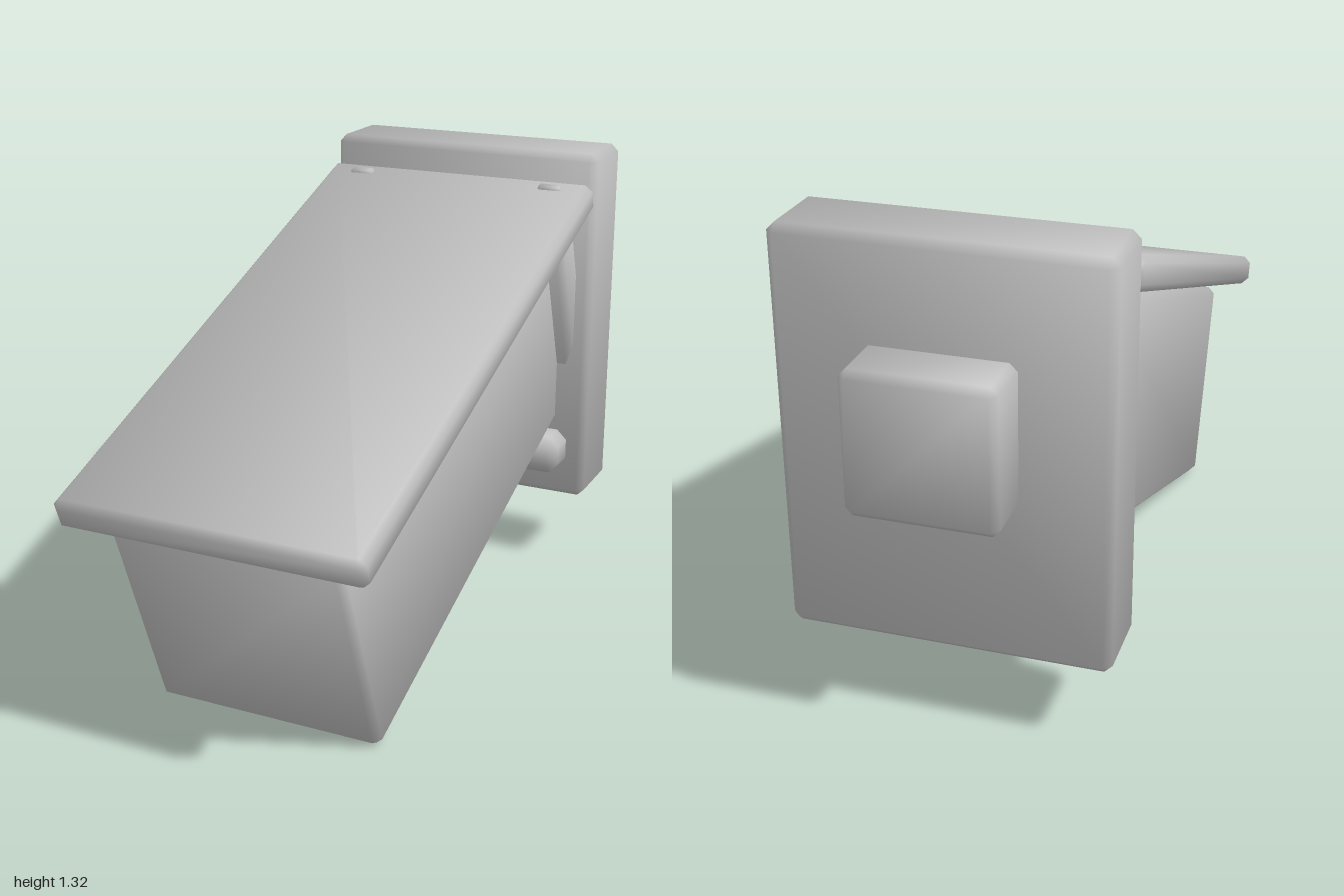
import * as THREE from 'three';
import { ConvexGeometry } from 'three/addons/geometries/ConvexGeometry.js';

const TILT = Math.atan(0.364);

// Chamfered box with softly blended normals: 24 corner points, normals lean towards the corners
function chamferBox(w, h, d, c) {
  const half = [w / 2, h / 2, d / 2];
  const points = [];
  for (const sx of [-1, 1]) for (const sy of [-1, 1]) for (const sz of [-1, 1]) {
    const s = [sx, sy, sz];
    for (let axis = 0; axis < 3; axis++) {
      const p = half.map((e, i) => s[i] * (i === axis ? e : e - c));
      points.push(new THREE.Vector3(...p));
    }
  }
  const geo = new ConvexGeometry(points);
  const pos = geo.attributes.position, nor = geo.attributes.normal;
  const n = new THREE.Vector3();
  for (let i = 0; i < pos.count; i++) {
    const p = [pos.getX(i), pos.getY(i), pos.getZ(i)];
    n.set(...p.map((v, k) => Math.sign(v) * (Math.abs(v) > half[k] - c / 2 ? 2.97 : 1.28))).normalize();
    nor.setXYZ(i, n.x, n.y, n.z);
  }
  return geo;
}

export function createModel() {
  const model = new THREE.Group();
  model.name = 'mountedHousing';
  const grey = new THREE.MeshStandardMaterial({ color: 0xbcbcbc });
  grey.name = 'plain grey';

  function part(name, size, chamfer, position, tilted = false) {
    const mesh = new THREE.Mesh(chamferBox(...size, chamfer), grey);
    mesh.name = name;
    mesh.position.set(...position);
    if (tilted) mesh.rotation.x = TILT;
    model.add(mesh);
  }

  // Upright wall plate and the block behind it
  part('wallPlate', [0.86, 1.1, 0.235], 0.022, [0, 0.78, -0.725]);
  part('rearBlock', [0.39, 0.385, 0.22], 0.02, [0, 0.86, -0.89]);

  // Sloping housing, its collar at the plate and the cover above
  part('housing', [0.66, 0.623, 1.5], 0.02, [0, 0.554, 0.0925], true);
  part('collar', [0.76, 0.6, 0.12], 0.022, [0, 0.828, -0.614], true);
  part('cover', [0.86, 0.09, 1.689], 0.02, [0, 0.922, 0.19], true);

  // Cross bar under the housing
  part('crossBar', [0.74, 0.12, 0.15], 0.03, [0, 0.39, -0.58]);

  // Fasteners on the cover
  for (const side of [-1, 1]) {
    part(side > 0 ? 'leftFastener' : 'rightFastener', [0.085, 0.04, 0.04], 0.012, [side * 0.31, 1.224, -0.545], true);
  }
  return model;
}
